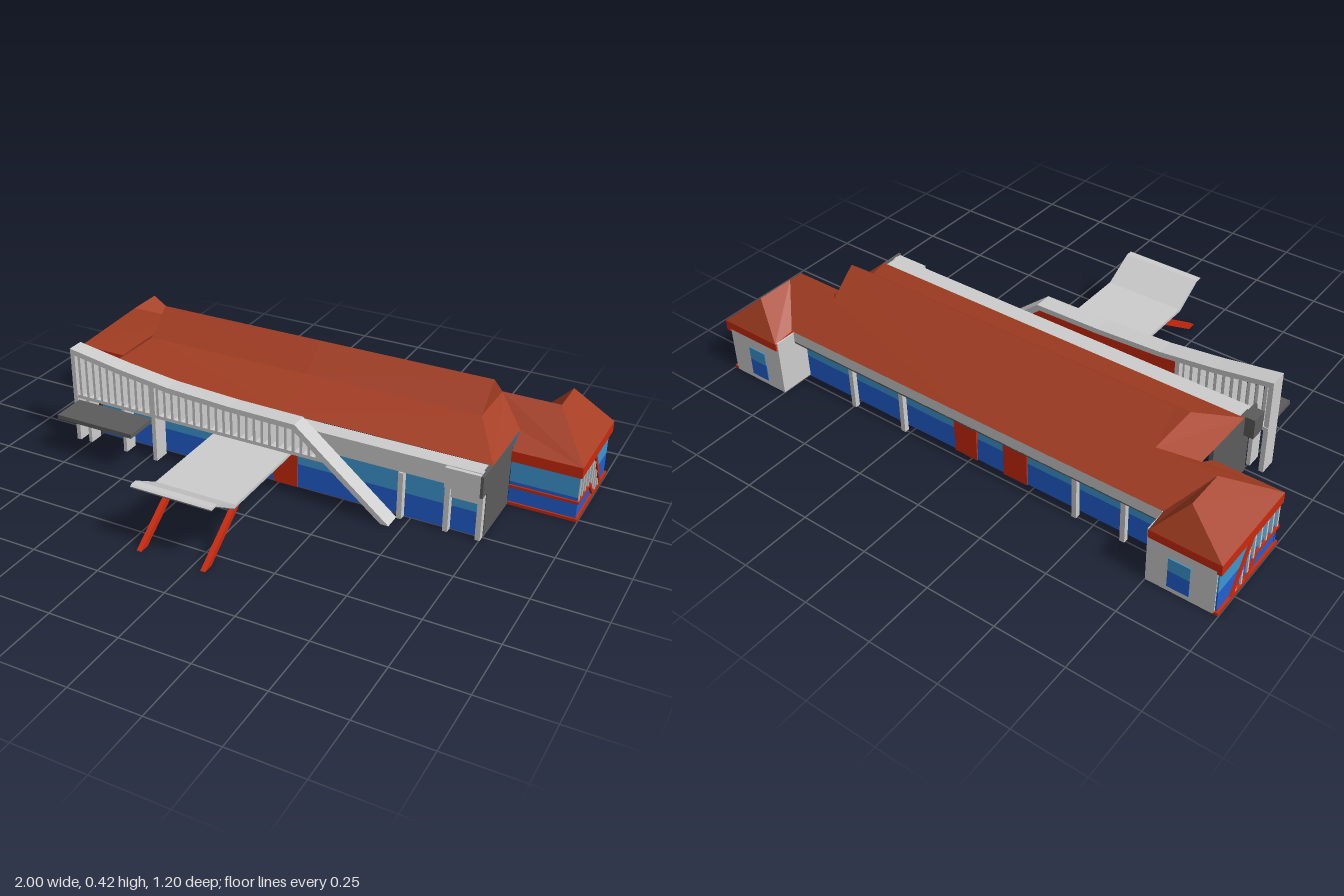
import * as THREE from 'three';

const mat = (name, color, side = THREE.FrontSide) => {
  const m = new THREE.MeshStandardMaterial({ color, side });
  m.name = name;
  return m;
};

export function createModel() {
  const M = {
    roof: mat('roof brown', 0xa53e23, THREE.DoubleSide),
    red: mat('red trim', 0xcc2a0c),
    sky: mat('light blue glass', 0x3d97d3),
    blue: mat('dark blue glass', 0x225fd2),
    grey: mat('light grey', 0xcdcdcd),
    dark: mat('dark grey', 0x5c5c5c),
  };
  const model = new THREE.Group();
  model.name = 'stationBuilding';

  const add = (parent, name, geo, m) => {
    const mesh = new THREE.Mesh(geo, m);
    mesh.name = name;
    parent.add(mesh);
    return mesh;
  };
  // box given by its two extents on each axis
  const box = (parent, name, m, x0, x1, y0, y1, z0, z1) => {
    const b = add(parent, name, new THREE.BoxGeometry(x1 - x0, y1 - y0, z1 - z0), m);
    b.position.set((x0 + x1) / 2, (y0 + y1) / 2, (z0 + z1) / 2);
    return b;
  };
  // flat polygon as a triangle fan
  const face = (parent, name, m, pts) => {
    const a = [];
    for (let i = 1; i < pts.length - 1; i++) a.push(...pts[0], ...pts[i], ...pts[i + 1]);
    const g = new THREE.BufferGeometry();
    g.setAttribute('position', new THREE.Float32BufferAttribute(a, 3));
    g.computeVertexNormals();
    return add(parent, name, g, m);
  };
  // outline in (u, y), extruded by depth
  const slab = (parent, name, m, pts, depth) => {
    const s = new THREE.Shape(pts.map(p => new THREE.Vector2(p[0], p[1])));
    return add(parent, name, new THREE.ExtrudeGeometry(s, { depth, bevelEnabled: false }), m);
  };
  // outline in (z, y), extruded along x from x0 to x1
  const sideSlab = (parent, name, m, pts, x0, x1) => {
    const s = slab(parent, name, m, pts.map(p => [-p[0], p[1]]), x1 - x0);
    s.rotation.y = Math.PI / 2;
    s.position.x = x0;
    return s;
  };

  // One half: roof and end wing, mirrored for the other side
  const half = new THREE.Group();
  half.name = 'halfBuilding';
  const E = 0.755;
  const roof = (name, pts) => face(half, name, M.roof, pts);
  roof('frontLowerRoof', [[0, .25, -.045], [E, .25, -.045], [.65, .33, -.205], [0, .33, -.205]]);
  roof('frontUpperRoof', [[0, .33, -.205], [.65, .33, -.205], [.65, .42, -.305], [0, .42, -.305]]);
  roof('rearRoof', [[0, .22, -.52], [E, .22, -.52], [.86, .33, -.405], [.65, .33, -.405], [.65, .42, -.305], [0, .42, -.305]]);
  roof('gable', [[.65, .33, -.205], [.65, .33, -.405], [.65, .42, -.305]]);
  roof('endRoof', [[E, .25, -.045], [E, .255, -.305], [.65, .33, -.405], [.65, .33, -.205]]);
  roof('wingFrontRoof', [[1, .21, -.232], [.86, .33, -.405], [.65, .33, -.405], [E, .255, -.305], [E, .21, -.232]]);
  roof('wingOuterRoof', [[1, .21, -.232], [1, .21, -.6], [.86, .33, -.545], [.86, .33, -.405]]);
  roof('wingRearRoof', [[1, .21, -.6], [E, .21, -.6], [.86, .33, -.545]]);
  roof('wingInnerRoof', [[E, .21, -.6], [E, .22, -.52], [.86, .33, -.405], [.86, .33, -.545]]);

  box(half, 'sideWall', M.dark, .74, .755, 0, .25, -.235, -.002);
  box(half, 'sideWallHead', M.dark, .745, .755, .17, .25, -.002, .04);
  // glazed wing front and outer side
  box(half, 'wingFrontLowerGlass', M.blue, .755, .992, .01, .09, -.248, -.24);
  box(half, 'wingFrontUpperGlass', M.sky, .755, .992, .09, .17, -.248, -.24);
  box(half, 'wingSideLowerGlass', M.blue, .982, .99, .01, .087, -.59, -.248);
  box(half, 'wingSideUpperGlass', M.sky, .982, .99, .087, .17, -.59, -.248);
  box(half, 'wingFrontFascia', M.red, .755, 1, .17, .21, -.245, -.232);
  box(half, 'wingSideFascia', M.red, .985, 1, .17, .21, -.6, -.245);
  box(half, 'wingRearFascia', M.red, .755, .985, .18, .21, -.6, -.592);
  box(half, 'wingFrontSill', M.red, .755, .998, 0, .011, -.248, -.234);
  box(half, 'wingSideSill', M.red, .982, .998, 0, .011, -.595, -.248);
  box(half, 'wingFrontRail', M.red, .755, .998, .068, .078, -.24, -.234);
  // stair on the wing side
  sideSlab(half, 'stairLanding', M.red, [[-.234, .068], [-.37, .068], [-.418, .011], [-.434, .011], [-.378, .078], [-.234, .078]], .99, .998);
  sideSlab(half, 'stairUpperRail', M.red, [[-.4, .17], [-.415, .17], [-.52, .011], [-.502, .011]], .99, .998);
  for (const [z, y0, y1] of [[-.245, .078, .17], [-.28, .078, .17], [-.315, .078, .17], [-.352, .078, .17],
    [-.39, .065, .17], [-.42, .03, .142], [-.455, .011, .09], [-.488, .011, .04]])
    box(half, 'stairBaluster', M.grey, .99, .996, y0, y1, z - .004, z + .004);
  // solid wing back with a window
  box(half, 'wingBackWall', M.grey, .755, .985, 0, .18, -.595, -.588);
  box(half, 'wingInnerWall', M.grey, .75, .757, 0, .21, -.595, -.465);
  box(half, 'wingWindowLower', M.blue, .825, .9, .02, .085, -.598, -.594);
  box(half, 'wingWindowUpper', M.sky, .825, .9, .085, .135, -.598, -.594);
  model.add(half);
  const other = half.clone();
  other.scale.x = -1;
  model.add(other);

  // Long glazed walls, front and back
  for (const [side, z] of [['front', -.006], ['back', -.472]]) {
    box(model, side + 'LowerGlass', M.blue, -.745, .745, 0, .09, z, z + .006);
    box(model, side + 'UpperGlass', M.sky, -.745, .745, .09, .175, z, z + .006);
  }
  // red door surrounds
  for (const [x0, x1] of [[-.225, -.13], [-.02, .072]]) {
    box(model, 'frontDoorPanel', M.red, x0, x1, 0, .172, 0, .006);
    box(model, 'backDoorPanel', M.red, x0, x1, 0, .172, -.478, -.472);
  }
  box(model, 'backDoorLintel', M.red, -.13, -.02, .14, .172, -.478, -.472);

  // Rear eave and posts
  box(model, 'rearFascia', M.grey, -.75, .75, .175, .218, -.518, -.508);
  box(model, 'rearSoffit', M.dark, -.75, .75, .17, .176, -.518, -.472);
  for (const x of [.5, .275, -.43, -.61])
    box(model, 'rearPost', M.grey, x - .009, x + .009, 0, .175, -.508, -.49);

  // Front parapet, end bay and posts
  box(model, 'frontParapet', M.grey, -.745, .745, .178, .249, -.045, .018);
  box(model, 'endBayParapet', M.grey, .62, .745, .172, .247, .018, .033);
  box(model, 'endBayHead', M.grey, .635, .745, .13, .172, .004, .014);
  box(model, 'leftParapetEnd', M.dark, -.79, -.755, .175, .25, -.04, .02);
  for (const x of [.465, .63, .744])
    box(model, 'frontPost', M.grey, x - .009, x + .009, 0, .178, 0, .025);

  // Raised gallery: sweeping rail, deck and balusters
  const curve = [[-.81, .37], [-.6, .335], [-.4, .31], [-.15, .297], [.1, .293]];
  const railY = x => {
    const i = Math.max(1, curve.findIndex(p => p[0] >= x));
    const [a, b] = [curve[i - 1], curve[i]];
    return a[1] + (b[1] - a[1]) * (x - a[0]) / (b[0] - a[0]);
  };
  const under = curve.slice(0, 4).reverse().map(p => [p[0], p[1] - .02]);
  slab(model, 'sweepingRail', M.grey, [...curve, [.455, 0], [.425, 0], [.09, .273], ...under], .065).position.z = .02;
  box(model, 'galleryDeck', M.grey, -.81, .225, .175, .188, .018, .083);
  for (let x = -.775; x < .2; x += .03) {
    const top = x < .09 ? railY(x) - .015 : .275 - (x - .09) * .82;
    box(model, 'baluster', M.grey, x - .005, x + .005, .185, top, .045, .083);
  }
  const screenTop = [.09, -.15, -.4, -.45].map(x => [x, railY(x) - .012]);
  slab(model, 'redScreen', M.red, [[-.45, .186], [.19, .186], ...screenTop], .006).position.z = .034;
  box(model, 'tallPost', M.grey, -.81, -.793, 0, .355, .021, .084);
  box(model, 'middlePost', M.grey, -.473, -.457, 0, .3, .021, .084);
  for (const x of [-.752, -.597])
    box(model, 'galleryPost', M.grey, x - .007, x + .007, 0, .176, .025, .08);

  // Flat dark side canopy
  box(model, 'sideCanopy', M.dark, -.79, -.475, .15, .166, .08, .212);

  // Upturned entrance canopy on raking red struts
  sideSlab(model, 'entranceCanopy', M.grey,
    [[.02, .157], [.445, .157], [.555, .226], [.583, .226], [.575, .232], [.55, .232], [.438, .168], [.02, .168]], -.225, .075);
  sideSlab(model, 'canopySoffit', M.dark,
    [[.084, .154], [.447, .154], [.556, .224], [.584, .224], [.583, .227], [.555, .227], [.445, .158], [.084, .158]], -.224, .074);
  for (const x of [-.195, .045])
    sideSlab(model, 'canopyStrut', M.red,
      [[.02, .136], [.365, .136], [.56, 0], [.598, 0], [.375, .155], [.02, .155]], x - .009, x + .009);

  return model;
}
